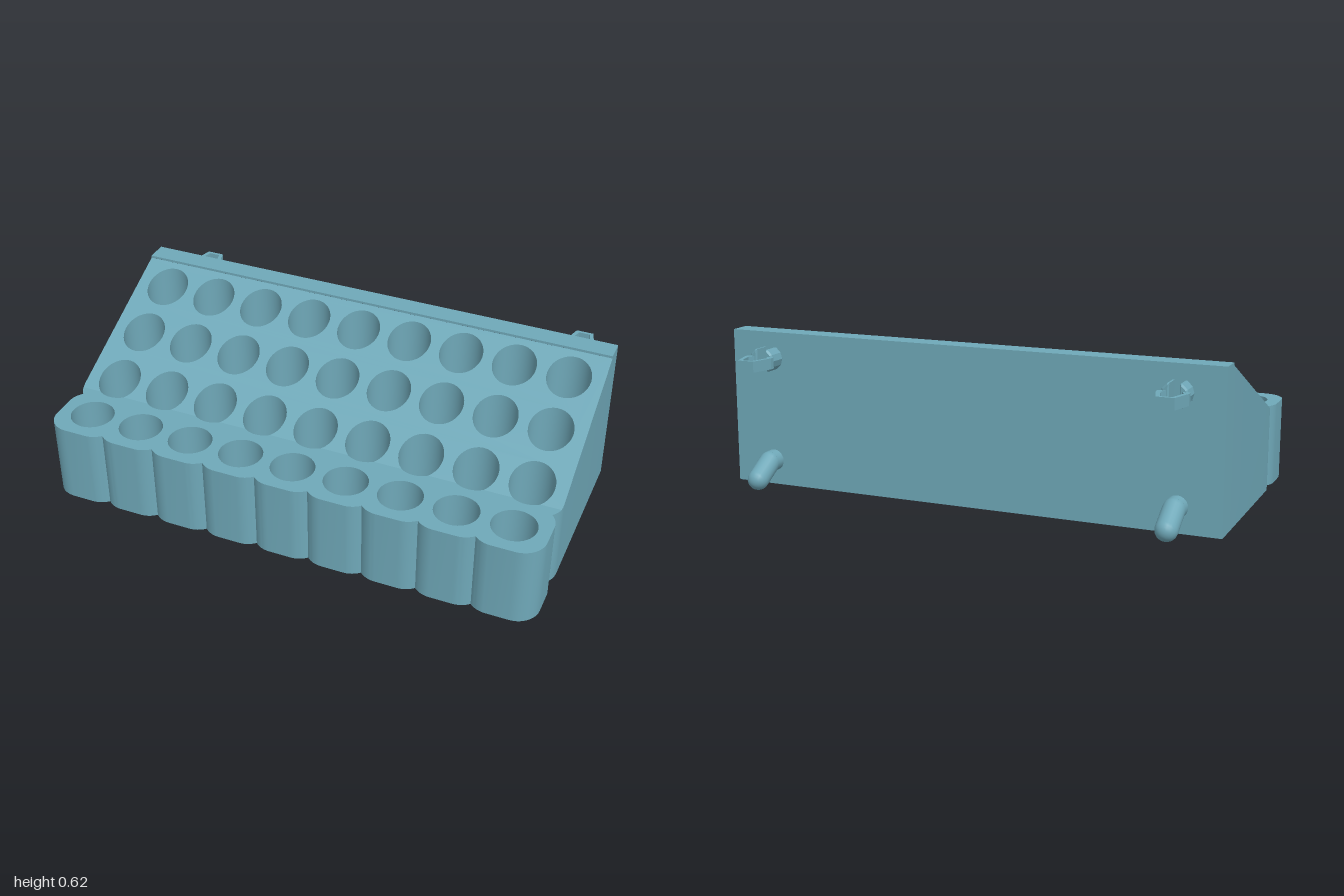
import * as THREE from 'three';
import { mergeGeometries, toCreasedNormals } from 'three/addons/utils/BufferGeometryUtils.js';

const material = new THREE.MeshStandardMaterial({ color: 0x6fa8b8 });

// Plan layout: 9 x 4 cells, each a rounded square with a round hole
const PITCH = 0.21625, CORNER = 0.09, INSET = 0.045, HOLE = 0.086;
const columns = Array.from({ length: 9 }, (_, i) => (i - 4) * PITCH);
const rows = Array.from({ length: 4 }, (_, i) => -0.205 + i * PITCH);
const LAST = columns.length - 1;
const SIDE = columns[LAST] + INSET + CORNER;
const NOTCH = Math.asin((PITCH / 2 - INSET) / CORNER);

// Heights: low front shelf, slope, raised back lip
const BACK = -0.402, LIP = -0.317, LOW = 0.325, HIGH = 0.606, TOP = 0.616;
const BREAK = rows[2] + INSET + CORNER * Math.sin(NOTCH / 3);
const slope = (z) => LOW + (HIGH - LOW) * (BREAK - z) / (BREAK - LIP);
const height = (z) => (z < LIP + 1e-5 ? TOP : z > BREAK ? LOW : slope(z));

const V = (x, z) => new THREE.Vector2(x, z);

function arc(cx, cz, r, a0, a1, n) {
  return Array.from({ length: n + 1 }, (_, i) => {
    const a = a0 + (a1 - a0) * i / n;
    return V(cx + r * Math.cos(a), cz + r * Math.sin(a));
  });
}

// Drops repeated neighbours, including last against first
const clean = (pts) => pts.filter((p, i) => p.distanceTo(pts[(i + 1) % pts.length]) > 1e-5);

// Horizontal or sloped face over a plan outline
function cap(points, holes, y, up) {
  const shape = new THREE.Shape(clean(points));
  shape.holes = holes.map((h) => new THREE.Path(h));
  const geo = new THREE.ShapeGeometry(shape);
  const pos = geo.attributes.position;
  for (let i = 0; i < pos.count; i++) {
    const z = pos.getY(i);
    pos.setXYZ(i, pos.getX(i), y(z), z);
  }
  if (up) geo.index.array.reverse();
  const flat = geo.toNonIndexed();
  flat.deleteAttribute('uv');
  flat.computeVertexNormals();
  return flat;
}

// Vertical wall from y = 0 up to the height rule along a closed loop
function wall(points) {
  const v = [];
  points.forEach((p, i) => {
    const q = points[(i + 1) % points.length];
    const a = [p.x, 0, p.y], b = [q.x, 0, q.y];
    const c = [q.x, height(q.y), q.y], d = [p.x, height(p.y), p.y];
    v.push(...a, ...b, ...c, ...a, ...c, ...d);
  });
  const geo = new THREE.BufferGeometry();
  geo.setAttribute('position', new THREE.Float32BufferAttribute(v, 3));
  return toCreasedNormals(geo, 0.5);
}

function rackBody() {
  // Scalloped outline, from back right round the front to back left
  const cx = columns[LAST] + INSET, H = Math.PI / 2;
  const right = [
    V(SIDE, BACK), V(SIDE, LIP), V(SIDE, LIP + 1e-4),
    ...arc(cx, rows[2] + INSET, CORNER, 0, NOTCH, 6),
    ...arc(cx, rows[3] - INSET, CORNER, -NOTCH, 0, 6),
  ];
  const front = [];
  for (let i = LAST; i >= 0; i--) {
    const z = rows[3] + INSET;
    front.push(...arc(columns[i] + INSET, z, CORNER, i === LAST ? 0 : H - NOTCH, H, 8));
    front.push(...arc(columns[i] - INSET, z, CORNER, H, i === 0 ? 2 * H : H + NOTCH, 8));
  }
  const left = right.map((p) => V(-p.x, p.y)).reverse();
  const outline = clean([...right, ...front, ...left]);

  // Holes; the third row straddles the crease, so it is split there
  const phi = Math.asin((BREAK - rows[2]) / HOLE);
  const holes = rows.map((z, r) => columns.map((x) => clean(r === 2
    ? [...arc(x, z, HOLE, phi, Math.PI - phi, 10),
      ...arc(x, z, HOLE, Math.PI - phi, 2 * Math.PI + phi, 26)]
    : arc(x, z, HOLE, 0, 2 * Math.PI, 36))));

  const shelf = outline.filter((p) => p.y > BREAK - 1e-6);
  columns.forEach((x) => shelf.push(...arc(x, rows[2], HOLE, Math.PI - phi, phi, 10)));

  const onSlope = outline.filter((p) => p.y > LIP + 5e-5 && p.y < BREAK + 1e-6);
  const ramp = onSlope.filter((p) => p.x > 0);
  [...columns].reverse().forEach((x) =>
    ramp.push(...arc(x, rows[2], HOLE, phi, -Math.PI - phi, 26)));
  ramp.push(...onSlope.filter((p) => p.x < 0));

  const lip = [V(SIDE, BACK), V(SIDE, LIP), V(-SIDE, LIP), V(-SIDE, BACK)];
  const step = new THREE.PlaneGeometry(2 * SIDE, TOP - HIGH)
    .translate(0, (TOP + HIGH) / 2, LIP).toNonIndexed();
  step.deleteAttribute('uv');

  return mergeGeometries([
    wall([...outline].reverse()),
    ...holes.flat().map(wall),
    cap(outline, holes.flat(), () => 0, false),
    cap(shelf, holes[3], () => LOW, true),
    cap(ramp, [...holes[0], ...holes[1]], slope, true),
    cap(lip, [], () => TOP, true),
    step,
  ]);
}

function add(parent, name, geometry) {
  const mesh = new THREE.Mesh(geometry, material);
  mesh.name = name;
  parent.add(mesh);
  return mesh;
}

// Bent round peg that hooks in at the bottom
function hookPeg() {
  const group = new THREE.Group();
  group.name = 'hookPeg';
  const r = 0.042, y0 = 0.099, z0 = -0.438, y1 = 0.048, z1 = -0.523;
  add(group, 'pegBase', new THREE.CylinderGeometry(r, r, z0 * -1 - 0.4, 20)
    .rotateX(Math.PI / 2).translate(0, y0, (z0 - 0.4) / 2));
  const bend = add(group, 'pegTip',
    new THREE.CapsuleGeometry(r, Math.hypot(y1 - y0, z1 - z0), 6, 20));
  bend.position.set(0, (y0 + y1) / 2, (z0 + z1) / 2);
  bend.rotation.x = Math.atan2(z1 - z0, y1 - y0);
  return group;
}

// Split stub with a flat springy barbed loop
function snapClip() {
  const group = new THREE.Group();
  group.name = 'snapClip';
  const y = 0.513;
  for (const s of [-1, 1]) {
    const half = new THREE.Shape([
      V(0.02, -0.043), V(0.027, -0.043), V(0.046, -0.024),
      V(0.053, 0), V(0.046, 0.024), V(0.027, 0.043), V(0.02, 0.043),
    ].map((p) => V(s * p.x, p.y)));
    add(group, 'clipStub', new THREE.ExtrudeGeometry(half, {
      depth: 0.062, bevelThickness: 0.008, bevelSize: 0.006, bevelOffset: -0.006, bevelSegments: 1,
    }).translate(0, y, -0.466));
  }
  const outer = [V(0.042, 0.4), V(0.042, 0.465), V(0.059, 0.476), V(0.059, 0.494), V(0.034, 0.58)];
  const inner = [V(0.022, 0.568), V(0.041, 0.498), V(0.024, 0.465), V(0.024, 0.4)];
  const mirrored = (pts) => pts.map((p) => V(-p.x, p.y)).reverse();
  const loop = new THREE.Shape([...outer, ...mirrored(outer), ...mirrored(inner), ...inner]);
  add(group, 'clipLoop', new THREE.ExtrudeGeometry(loop, { depth: 0.043, bevelEnabled: false })
    .rotateX(-Math.PI / 2).translate(0, 0.487, 0));
  return group;
}

export function createModel() {
  const model = new THREE.Group();
  model.name = 'slopedHolderRack';
  add(model, 'rackBody', rackBody());
  for (const x of [-0.832, 0.832]) {
    for (const part of [hookPeg(), snapClip()]) {
      part.position.x = x;
      model.add(part);
    }
  }
  return model;
}
